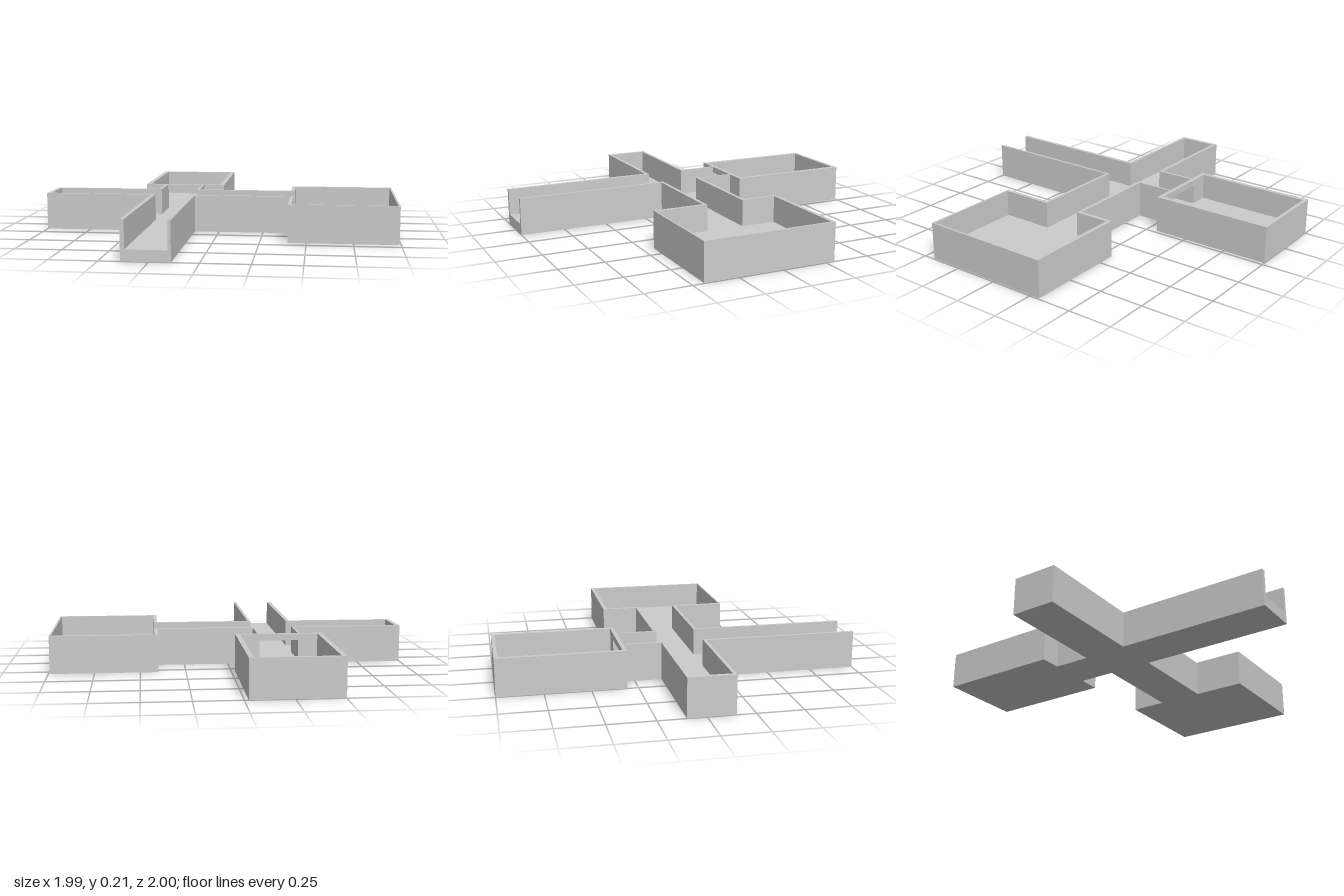
import * as THREE from 'three';

const HEIGHT = 0.208, FLOOR = 0.06, LINTEL = 0.172;

// Outer plan [x, z], from the left side of the open front passage round to its right side
const outer = [
  [-0.389, 1], [-0.389, 0.149], [-1, 0.149], [-1, -0.102], [-0.384, -0.102], [-0.384, -0.309],
  [-0.501, -0.309], [-0.501, -1], [-0.021, -1], [-0.021, -0.309], [-0.143, -0.309], [-0.143, -0.102],
  [0.4, -0.102], [0.4, -0.304], [0.992, -0.304], [0.992, 0.437], [0.4, 0.437], [0.4, 0.149],
  [-0.139, 0.149], [-0.139, 1],
];

// Inner faces of the walls, in the same order
const inner = [
  [-0.368, 1], [-0.368, 0.131], [-0.976, 0.131], [-0.976, -0.084], [-0.368, -0.084], [-0.368, -0.331],
  [-0.475, -0.331], [-0.475, -0.98], [-0.048, -0.98], [-0.048, -0.331], [-0.155, -0.331], [-0.155, -0.084],
  [0.421, -0.084], [0.421, -0.283], [0.981, -0.283], [0.981, 0.427], [0.421, 0.427], [0.421, 0.131],
  [-0.155, 0.131], [-0.155, 1],
];

export function createModel() {
  const group = new THREE.Group();
  const material = new THREE.MeshStandardMaterial({ color: 0xcccccc });

  // Raises a plan outline from y0 to y1
  const raise = (name, plan, y0, y1) => {
    const shape = new THREE.Shape(plan.map(([x, z]) => new THREE.Vector2(x, -z)));
    const geometry = new THREE.ExtrudeGeometry(shape, { depth: y1 - y0, bevelEnabled: false });
    geometry.rotateX(-Math.PI / 2).translate(0, y0, 0);
    const mesh = new THREE.Mesh(geometry, material);
    mesh.name = name;
    group.add(mesh);
  };

  // Floor slab under all rooms and passages
  raise('floor', outer, 0, FLOOR);

  // One continuous wall, open at the front passage
  raise('walls', [...outer, ...[...inner].reverse()], FLOOR, HEIGHT);

  // Lintel over the doorway of the back room
  raise('doorLintel', [[-0.368, -0.309], [-0.368, -0.331], [-0.155, -0.331], [-0.155, -0.309]], LINTEL, HEIGHT);

  return group;
}
